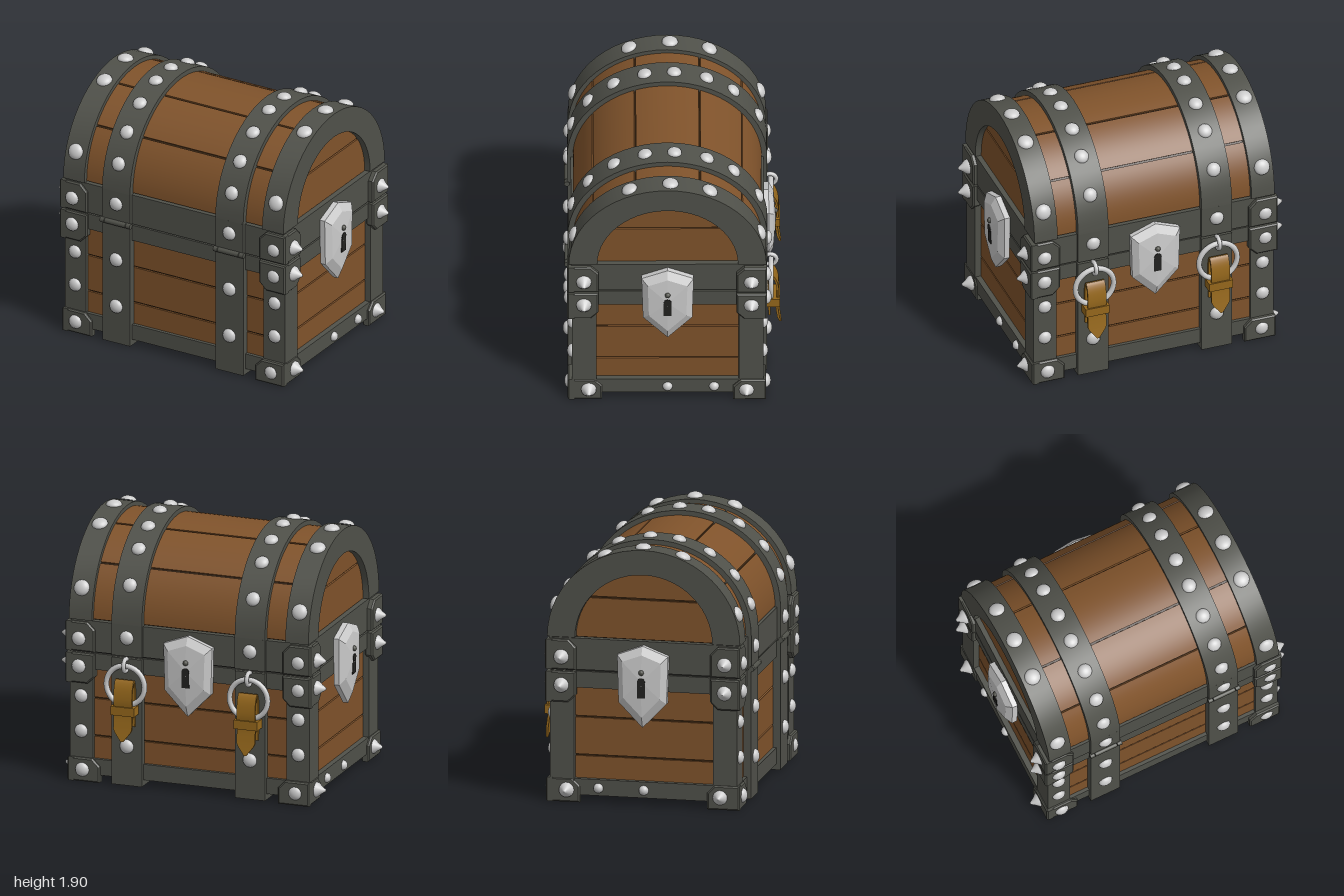
import * as THREE from 'three';
import { toCreasedNormals } from 'three/addons/utils/BufferGeometryUtils.js';

const mat = (color, extra = {}) => new THREE.MeshStandardMaterial({ color, ...extra });
const wood = mat(0x80532b), groove = mat(0x35220f), iron = mat(0x50514a), dark = mat(0x222220);
const steel = mat(0xcccccc), steelFlat = mat(0xcccccc, { flatShading: true }), leather = mat(0x96681c);
const ZC = 0.04, Y0 = 1.2; // chest centre in z, springing height of the lid arch

export function createModel() {
  const chest = new THREE.Group();
  chest.name = 'chest';

  const add = (name, geo, material, parent = chest) => {
    const m = new THREE.Mesh(geo, material);
    m.name = name;
    parent.add(m);
    return m;
  };
  // box given by its limits
  const box = (name, material, x0, x1, y0, y1, z0, z1, parent) =>
    add(name, new THREE.BoxGeometry(x1 - x0, y1 - y0, z1 - z0)
      .translate((x0 + x1) / 2, (y0 + y1) / 2, (z0 + z1) / 2), material, parent);
  // outline of [z, y] points swept along x
  const sweepX = (pts, width, x) => {
    const g = new THREE.ExtrudeGeometry(new THREE.Shape(pts.map(p => new THREE.Vector2(...p))),
      { depth: width, bevelEnabled: false });
    return toCreasedNormals(g.translate(0, 0, -width / 2).rotateY(-Math.PI / 2).translate(x, 0, 0), 0.5);
  };
  const arc = (a, b, t0, t1, n) => Array.from({ length: n + 1 }, (_, i) => {
    const t = t0 + (t1 - t0) * i / n;
    return [ZC + a * Math.cos(t), Y0 + b * Math.sin(t)];
  });
  const arch = (name, material, out, inn, t0, t1, width, x, n = 28) =>
    add(name, sweepX([...arc(...out, t0, t1, n), ...arc(...inn, t1, t0, n)], width, x), material);

  // round studs and pointed spikes
  const up = new THREE.Vector3(0, 1, 0);
  const dome = new THREE.SphereGeometry(1, 18, 6, 0, Math.PI * 2, 0, Math.PI / 2);
  const spikeGeo = new THREE.LatheGeometry(
    [[0.055, 0], [0.052, 0.02], [0.03, 0.045], [0.008, 0.078], [0, 0.08]].map(p => new THREE.Vector2(...p)), 18);
  const stud = (x, y, z, nx, ny, nz, r = 0.052, h = 0.035) => {
    const m = add('stud', dome, steel);
    m.position.set(x, y, z);
    m.scale.set(r, h, r);
    m.quaternion.setFromUnitVectors(up, new THREE.Vector3(nx, ny, nz).normalize());
  };
  const spike = (sx, x, y, z) => {
    const m = add('spike', spikeGeo, steel);
    m.position.set(sx * x, y, z);
    m.rotation.z = -sx * Math.PI / 2;
  };

  // body planks over a dark core
  box('bodyCore', groove, -0.85, 0.85, 0.08, 1.2, ZC - 0.64, ZC + 0.64);
  for (const [y0, y1] of [[0.1, 0.332], [0.344, 0.612], [0.624, 0.9]])
    box('bodyPlank', wood, -0.865, 0.865, y0, y1, ZC - 0.655, ZC + 0.655);
  for (let i = 0; i < 4; i++)
    box('bottomPlank', wood, -0.85, 0.85, 0.07, 0.1, ZC - 0.64 + i * 0.322, ZC - 0.326 + i * 0.322);

  // lid planks
  add('lidCore', sweepX(arc(0.655, 0.615, 0, Math.PI, 28), 1.6, 0), groove);
  const cuts = [0, Math.acos(0.53 / 0.67), Math.acos(0.23 / 0.67),
    Math.PI - Math.acos(0.23 / 0.67), Math.PI - Math.acos(0.53 / 0.67), Math.PI];
  for (let i = 0; i < 5; i++)
    arch('lidPlank', wood, [0.67, 0.63], [0.62, 0.58], cuts[i] + 0.01, cuts[i + 1] - 0.01, 1.6, 0, 10);
  // arched end panels, split into two planks
  const split = Math.asin(0.286 / 0.55), split2 = Math.asin(0.299 / 0.55);
  for (const s of [-1, 1]) {
    add('lidEndCore', sweepX(arc(0.56, 0.54, 0, Math.PI, 20), 0.06, s * 0.82), groove);
    add('lidEndPlank', sweepX([...arc(0.58, 0.55, 0, split, 8),
      ...arc(0.58, 0.55, Math.PI - split, Math.PI, 8)], 0.08, s * 0.825), wood);
    add('lidEndPlank', sweepX(arc(0.58, 0.55, split2, Math.PI - split2, 16), 0.08, s * 0.825), wood);
  }

  // rims and base frame
  box('bodyRim', iron, -0.9, 0.9, 0.835, 0.955, ZC - 0.68, ZC + 0.68);
  box('lidRim', iron, -0.9, 0.9, 0.967, 1.195, ZC - 0.685, ZC + 0.685);
  box('rimGap', dark, -0.88, 0.88, 0.95, 0.97, ZC - 0.66, ZC + 0.66);
  for (const s of [-1, 1]) {
    const z = ZC + s * 0.645, x = s * 0.86;
    box('baseRail', iron, -0.9, 0.9, 0.055, 0.172, z - 0.035, z + 0.035);
    box('baseEndRail', iron, x - 0.045, x + 0.045, 0.055, 0.172, ZC - 0.68, ZC + 0.68);
  }

  // plate with its inner corner cut; (0,0) is the outer corner, cy the side of the cut
  const cutPlate = (w, h, depth, cutTop, cutBottom) => {
    const c = 0.055, s = new THREE.Shape();
    s.moveTo(0, 0);
    if (cutBottom) s.lineTo(w - c, 0).lineTo(w, c); else s.lineTo(w, 0);
    if (cutTop) s.lineTo(w, h - c).lineTo(w - c, h); else s.lineTo(w, h);
    s.lineTo(0, h);
    return new THREE.ExtrudeGeometry(s, { depth: depth - 0.01, bevelThickness: 0.01,
      bevelSize: 0.01, bevelOffset: -0.01, bevelSegments: 1 });
  };
  // corner fittings: name, bottom, height, reach, outer x, outer half z, cut top, cut bottom
  const fittings = [
    ['lidCorner', 0.965, 0.22, 0.215, 0.93, 0.705, true, false],
    ['bodyCorner', 0.73, 0.222, 0.215, 0.93, 0.705, false, true],
    ['footCorner', 0, 0.175, 0.235, 0.915, 0.7, true, false]];
  for (const sx of [-1, 1]) for (const sz of [-1, 1]) {
    for (const [name, y, h, reach, ox, oz, top, bottom] of fittings) {
      const corner = new THREE.Group();
      corner.name = name;
      corner.position.set(sx * ox, y, ZC + sz * oz);
      corner.rotation.y = Math.atan2(sx, sz) - Math.PI / 4;
      // local frame: the block spans -x and -z from its outer edge
      const a = add('cornerPlate', cutPlate(reach, h, 0.05, top, bottom), iron, corner);
      a.rotation.y = Math.PI;
      const flip = add('cornerPlate', cutPlate(reach, h, 0.05, top, bottom), iron, corner);
      flip.rotation.y = Math.PI / 2;
      flip.position.x = -0.05;
      box('cornerFill', iron, -0.16, -0.01, 0.01, h - 0.01, -0.16, -0.01, corner);
      if (name === 'footCorner') {
        const foot = add('footSole', cutPlate(reach, reach, 0.06, true, false), iron, corner);
        foot.rotation.set(-Math.PI / 2, 0, Math.PI / 2);
        foot.rotation.order = 'XYZ';
        foot.position.x = 0;
        foot.rotation.set(Math.PI / 2, Math.PI, 0);
        foot.position.set(0, 0, 0);
        foot.rotation.set(-Math.PI / 2, 0, 0);
        foot.position.set(-reach, 0, -reach);
        foot.geometry = new THREE.BoxGeometry(reach - 0.05, 0.05, reach - 0.05);
        foot.rotation.set(0, 0, 0);
        foot.position.set(-reach / 2 + 0.015, 0.026, -reach / 2 + 0.015);
      }
      chest.add(corner);
    }
    // corner post with its studs
    const px = sx * 0.8225, pz = ZC + sz * 0.5925;
    box('cornerPost', iron, px - 0.0875, px + 0.0875, 0.1, 0.84, pz - 0.0875, pz + 0.0875);
    for (const y of [0.37, 0.63]) stud(sx * 0.825, y, ZC + sz * 0.678, 0, 0, sz, 0.05);
    for (const y of [0.855, 1.06]) {
      stud(sx * 0.835, y, ZC + sz * 0.703, 0, 0, sz);
      spike(sx, 0.925, y, ZC + sz * 0.595);
    }
    stud(sx * 0.81, 0.09, ZC + sz * 0.698, 0, 0, sz);
    spike(sx, 0.91, 0.09, ZC + sz * 0.56);

    // middle strap, upright parts
    const mx = sx * 0.468, z = ZC + sz * 0.68;
    box('strap', iron, mx - 0.115, mx + 0.115, 0.01, 0.952, z - 0.028, z + 0.028);
    box('lidStrapEnd', iron, mx - 0.115, mx + 0.115, 0.968, 1.202, z - 0.03, z + 0.03);
    for (const y of [0.3, 0.665, 1.105]) stud(mx, y, ZC + sz * 0.708, 0, 0, sz);
  }

  // straps over the lid and under the floor, with studs along the arch
  const archStuds = (x, offsets, a, b, r) => offsets.forEach(d => {
    const y = b * Math.sqrt(1 - (d / a) ** 2);
    stud(x, Y0 + y, ZC + d, 0, y / (b * b), d / (a * a), r);
  });
  for (const s of [-1, 1]) {
    arch('endArch', iron, [0.702, 0.66], [0.5, 0.48], 0, Math.PI, 0.175, s * 0.8225);
    arch('lidStrap', iron, [0.71, 0.665], [0.65, 0.61], 0, Math.PI, 0.23, s * 0.468);
    box('floorStrap', iron, s * 0.468 - 0.115, s * 0.468 + 0.115, 0.01, 0.075, ZC - 0.7, ZC + 0.7);
    archStuds(s * 0.828, [-0.66, -0.3, -0.02, 0.27, 0.665], 0.702, 0.66, 0.058);
    archStuds(s * 0.468, [-0.645, -0.47, -0.28, -0.05, 0.16, 0.38, 0.56, 0.675], 0.71, 0.665, 0.052);
    for (const z of [0.04, -0.29]) stud(s * 0.903, 0.11, z, s, 0, 0, 0.036);

    // hinge knuckles on the front
    for (let i = -1; i <= 1; i++)
      add('hingeKnuckle', new THREE.CylinderGeometry(0.02, 0.02, i ? 0.034 : 0.17, 12)
        .rotateZ(Math.PI / 2).translate(s * 0.468 + i * 0.107, 0.958, ZC + 0.712), iron);
  }

  // faceted shield lock: rings of a six-sided outline closed at a raised centre
  const outline = [[0, 1.17], [-0.185, 1.1], [-0.175, 0.755], [0, 0.575], [0.175, 0.755], [0.185, 1.1]];
  const rings = [[1, 0], [1, 0.04], [0.76, 0.075], [0, 0.09]].map(([k, d]) =>
    outline.map(([x, y]) => [x * k, 0.92 + (y - 0.92) * k, d]));
  const lockPos = [];
  for (let r = 0; r < 3; r++) for (let i = 0; i < 6; i++) {
    const j = (i + 1) % 6, [a, b, c, d] = [rings[r][i], rings[r][j], rings[r + 1][j], rings[r + 1][i]];
    lockPos.push(...a, ...b, ...c);
    if (r < 2) lockPos.push(...a, ...c, ...d);
  }
  const lockGeo = new THREE.BufferGeometry();
  lockGeo.setAttribute('position', new THREE.Float32BufferAttribute(lockPos, 3));
  lockGeo.computeVertexNormals();
  for (const [x, z, turn] of [[0.903, ZC, Math.PI / 2], [-0.903, ZC, -Math.PI / 2], [0, -0.64, Math.PI]]) {
    const lock = new THREE.Group();
    lock.name = 'lock';
    lock.position.set(x, 0, z);
    lock.rotation.y = turn;
    add('lockPlate', lockGeo, steelFlat, lock);
    add('keyhole', new THREE.CylinderGeometry(0.028, 0.028, 0.05, 16).rotateX(Math.PI / 2)
      .translate(0, 0.92, 0.067), dark, lock);
    box('keySlot', dark, -0.028, 0.028, 0.8, 0.91, 0.05, 0.088, lock);
    add('lockPin', new THREE.SphereGeometry(0.02, 12, 8).translate(0, 0.985, 0.085), iron, lock);
    chest.add(lock);
  }

  // back rings with folded leather tabs
  const fold = new THREE.CatmullRomCurve3([[-0.685, 0.46], [-0.68, 0.62], [-0.682, 0.75], [-0.705, 0.8],
    [-0.73, 0.76], [-0.745, 0.66], [-0.735, 0.56], [-0.745, 0.46], [-0.762, 0.36]]
    .map(([z, y]) => new THREE.Vector3(z, y, 0)));
  const ribbon = side => Array.from({ length: 37 }, (_, i) => {
    const p = fold.getPoint(i / 36), t = fold.getTangent(i / 36);
    return [p.x - t.y * side, p.y + t.x * side];
  });
  for (const s of [-1, 1]) {
    const x = s * 0.468;
    add('ring', new THREE.TorusGeometry(0.145, 0.02, 10, 36).translate(x, 0.76, -0.695), steel);
    add('ringStaple', new THREE.TorusGeometry(0.045, 0.016, 8, 20).rotateY(Math.PI / 2)
      .translate(x, 0.91, -0.69), steel);
    const tab = sweepX([...ribbon(0.008), ...ribbon(-0.008).reverse()], 0.14, x);
    const pos = tab.attributes.position;
    // taper the hanging end to a point
    for (let i = 0; i < pos.count; i++) {
      const k = THREE.MathUtils.clamp((pos.getY(i) - 0.35) / 0.09, 0.1, 1);
      pos.setX(i, x + (pos.getX(i) - x) * k);
    }
    add('leatherTab', tab, leather);
    box('leatherKeeper', leather, x - 0.09, x + 0.09, 0.55, 0.615, -0.76, -0.665);
  }
  return chest;
}
